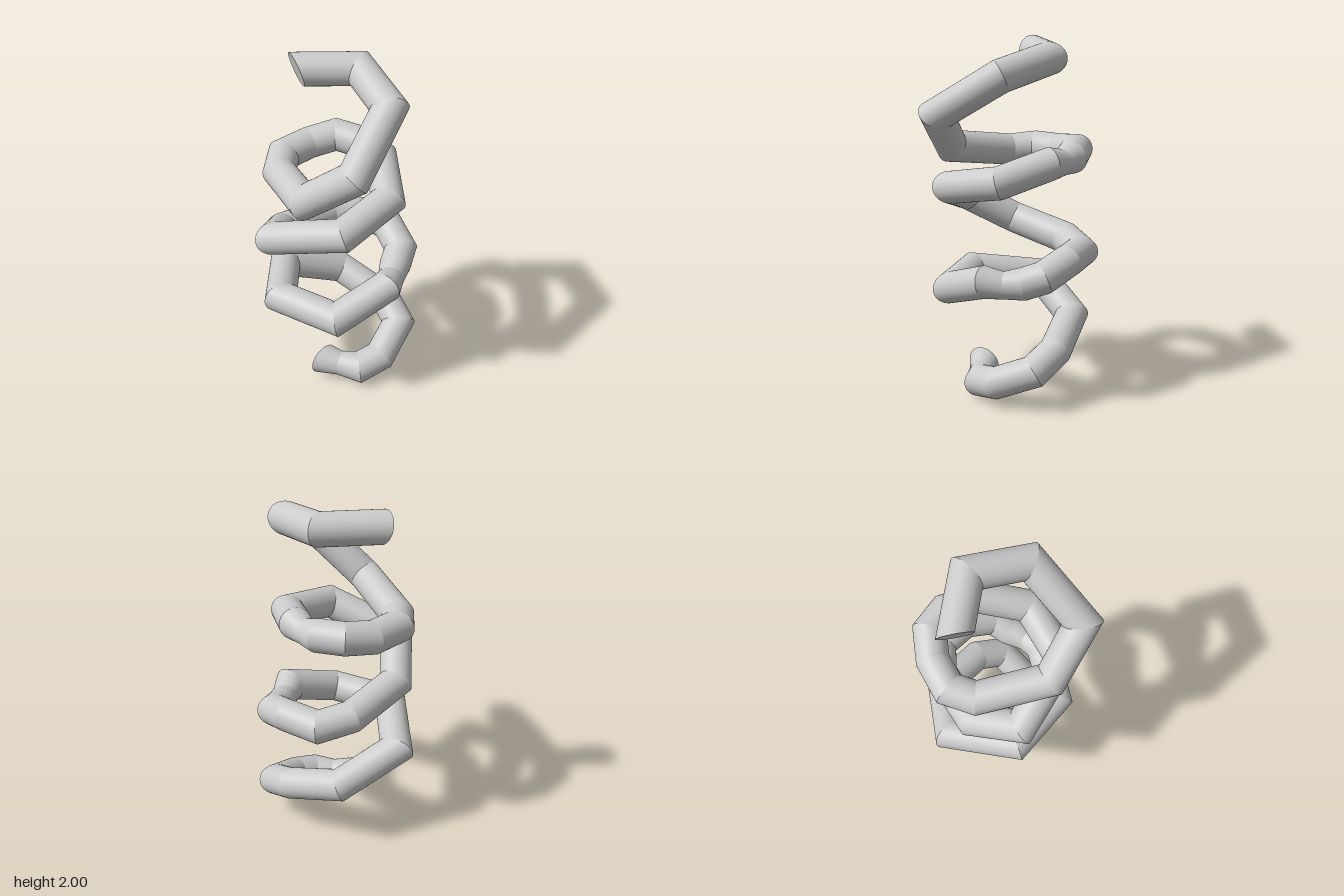
import * as THREE from 'three';

const SIDES = 40;
const RADIUS = 0.09;

// Centre line from the bottom end to the top end: x, y, z and an optional radius
const PATH = [
  [-0.05, 0.11, 0.16], [0.05, 0.10, 0.165, 0.072], [0.17, 0.095, 0.17],
  [0.28, 0.13, 0.08], [0.35, 0.23, -0.13], [0.24, 0.31, -0.25],
  [-0.06, 0.41, -0.35], [-0.36, 0.56, -0.16], [-0.28, 0.62, 0.23],
  [0.07, 0.62, 0.34], [0.31, 0.735, 0.14], [0.32, 0.72, 0.04, 0.075],
  [0.325, 0.73, -0.07], [0.335, 0.77, -0.18], [0.23, 0.83, -0.31],
  [0.05, 0.83, -0.39], [-0.12, 0.86, -0.31], [-0.33, 0.92, -0.02],
  [-0.30, 1.07, 0.26], [0.10, 1.21, 0.33], [0.29, 1.28, 0.06],
  [0.195, 1.365, -0.215], [0.13, 1.36, -0.28, 0.072], [0.06, 1.37, -0.33],
  [-0.09, 1.38, -0.36], [-0.23, 1.355, -0.28], [-0.34, 1.35, -0.14],
  [-0.325, 1.335, 0.01], [-0.10, 1.40, 0.335], [0.17, 1.625, 0.39],
  [0.28, 1.845, 0.05], [0.07, 1.91, -0.20], [-0.25, 1.91, -0.12],
];

// Slanted planes of the two end cuts
const START_NORMAL = new THREE.Vector3(0.87, 0, 0.49).normalize();
const END_NORMAL = new THREE.Vector3(-0.8, -0.27, 0.55).normalize();

// One ring of corners per path point, lying in the mitre plane of the elbow
function buildRings(points) {
  const last = points.length - 1;
  const dirs = [];
  for (let i = 0; i < last; i++) dirs.push(points[i + 1].clone().sub(points[i]).normalize());

  const u = new THREE.Vector3(0, 1, 0);
  u.addScaledVector(dirs[0], -u.dot(dirs[0])).normalize();
  const turn = new THREE.Quaternion();

  return points.map((p, i) => {
    const dir = dirs[Math.max(i - 1, 0)];
    if (i > 1) u.applyQuaternion(turn.setFromUnitVectors(dirs[i - 2], dir));
    const v = dir.clone().cross(u);
    let normal = START_NORMAL;
    if (i === last) normal = END_NORMAL;
    else if (i > 0) normal = dirs[i - 1].clone().add(dirs[i]).normalize();
    const r = PATH[i][3] ?? RADIUS;
    const ring = [];
    for (let k = 0; k < SIDES; k++) {
      const a = (k / SIDES) * Math.PI * 2;
      const off = u.clone().multiplyScalar(Math.cos(a) * r).addScaledVector(v, Math.sin(a) * r);
      off.addScaledVector(dir, -off.dot(normal) / dir.dot(normal));
      ring.push(off.add(p));
    }
    return ring;
  });
}

function toGeometry(vertices, index) {
  const g = new THREE.BufferGeometry().setFromPoints(vertices);
  g.setIndex(index);
  g.computeVertexNormals();
  return g;
}

// Straight pieces keep their own vertices, so elbows stay sharp and sides smooth
function tubeGeometry(rings) {
  const vertices = [], index = [];
  for (let i = 0; i < rings.length - 1; i++) {
    const a0 = vertices.length, b0 = a0 + SIDES;
    vertices.push(...rings[i], ...rings[i + 1]);
    for (let k = 0; k < SIDES; k++) {
      const n = (k + 1) % SIDES;
      index.push(a0 + k, a0 + n, b0 + n, a0 + k, b0 + n, b0 + k);
    }
  }
  return toGeometry(vertices, index);
}

function capGeometry(ring, center, flip) {
  const index = [];
  for (let k = 0; k < SIDES; k++) {
    const n = (k + 1) % SIDES;
    index.push(SIDES, flip ? n : k, flip ? k : n);
  }
  return toGeometry([...ring, center], index);
}

export function createModel() {
  const group = new THREE.Group();
  group.name = 'spiralTube';
  const material = new THREE.MeshStandardMaterial({ color: 0xcccccc, side: THREE.DoubleSide });
  const add = (name, geometry) => {
    const mesh = new THREE.Mesh(geometry, material);
    mesh.name = name;
    group.add(mesh);
  };

  const points = PATH.map(([x, y, z]) => new THREE.Vector3(x, y, z));
  const rings = buildRings(points);
  add('coil', tubeGeometry(rings));
  add('bottomCap', capGeometry(rings[0], points[0], true));
  add('topCap', capGeometry(rings[rings.length - 1], points[points.length - 1], false));
  return group;
}
